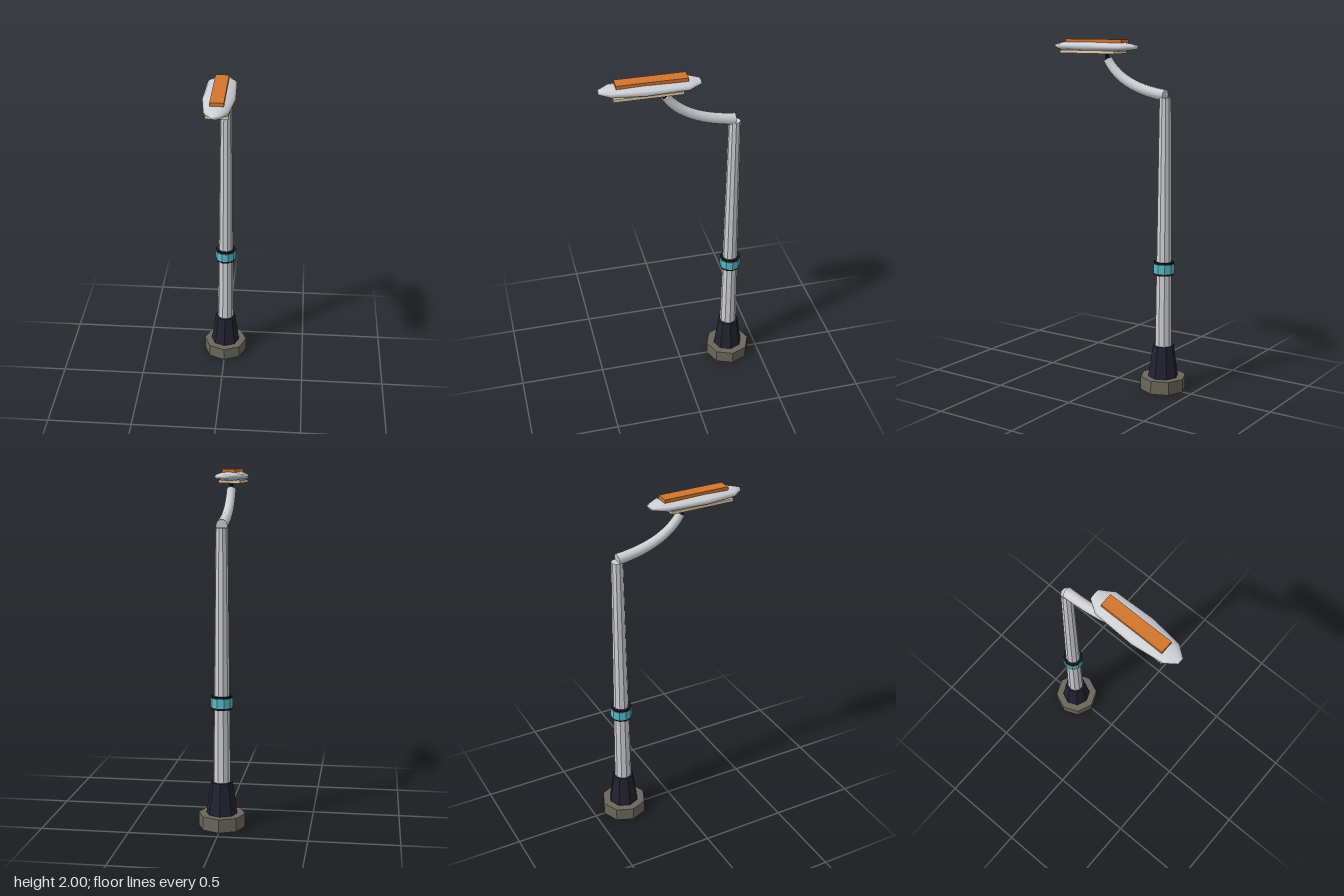
import * as THREE from 'three';

const paint = (name, color, flat = true) => {
  const m = new THREE.MeshStandardMaterial({ color, flatShading: flat });
  m.name = name;
  return m;
};

export function createModel() {
  const metal = paint('paleMetal', 0xcfd0d5);
  const smoothMetal = paint('smoothPaleMetal', 0xcfd0d5, false);
  const stone = paint('stone', 0x6b675c);
  const navy = paint('navy', 0x222230);
  const black = paint('black', 0x15171d);
  const teal = paint('teal', 0x58b9c6);
  const orange = paint('orange', 0xd2752c);
  const cream = paint('cream', 0xe6cfa8);

  const group = new THREE.Group();
  group.name = 'streetLamp';
  const poleZ = -0.31;

  const add = (name, geometry, material) => {
    const mesh = new THREE.Mesh(geometry, material);
    mesh.name = name;
    group.add(mesh);
    return mesh;
  };
  // Faceted column between two heights, with a corner on the x axis
  const column = (name, rBottom, rTop, y0, y1, sides, material, z = poleZ) => {
    const g = new THREE.CylinderGeometry(rTop, rBottom, y1 - y0, sides);
    g.rotateY(Math.PI / 2).translate(0, (y0 + y1) / 2, z);
    return add(name, g, material);
  };
  const plate = (name, w, y0, y1, z0, z1, material) => {
    const g = new THREE.BoxGeometry(w, y1 - y0, z1 - z0);
    g.translate(0, (y0 + y1) / 2, (z0 + z1) / 2);
    return add(name, g, material);
  };

  // Foot, sleeve, pole and collar
  column('base', 0.133, 0.133, 0, 0.077, 8, stone);
  column('sleeve', 0.088, 0.062, 0.077, 0.26, 8, navy);
  column('pole', 0.05, 0.034, 0.2, 1.685, 10, metal);
  column('collar', 0.06, 0.06, 0.68, 0.755, 10, black);
  column('collarBand', 0.063, 0.063, 0.691, 0.744, 10, teal);

  // Curved arm, slightly tapered towards the head
  const curve = new THREE.QuadraticBezierCurve3(
    new THREE.Vector3(0, 1.697, poleZ),
    new THREE.Vector3(0, 1.73, -0.02),
    new THREE.Vector3(0, 1.885, 0.075));
  const steps = 12, around = 10;
  const arm = new THREE.TubeGeometry(curve, steps, 1, around);
  const p = arm.attributes.position, v = new THREE.Vector3();
  for (let i = 0; i < p.count; i++) {
    const t = Math.floor(i / (around + 1)) / steps;
    const c = curve.getPointAt(t);
    v.fromBufferAttribute(p, i).sub(c).multiplyScalar(0.033 - 0.006 * t);
    p.setXYZ(i, c.x + v.x, c.y + v.y, c.z + v.z);
  }
  add('arm', arm, smoothMetal);
  // Caps closing both ends of the arm
  for (const [t, r, dir] of [[0, 0.033, -1], [1, 0.027, 1]]) {
    const cap = add('armCap', new THREE.CircleGeometry(r, around), metal);
    cap.position.copy(curve.getPointAt(t));
    cap.lookAt(cap.position.clone().addScaledVector(curve.getTangentAt(t), dir));
  }

  // Joint under the head
  column('joint', 0.013, 0.009, 1.875, 1.905, 8, black, 0.08);
  column('jointTop', 0.009, 0.016, 1.9, 1.925, 8, black, 0.08);

  // Lamp head lofted from oval sections: z, half width, half height
  const sections = [
    [-0.112, 0.033, 0.013], [-0.04, 0.08, 0.025], [0.2, 0.088, 0.03],
    [0.38, 0.065, 0.025], [0.44, 0.02, 0.012],
  ];
  const n = 12, pos = [], index = [], headY = 1.957;
  for (const [z, w, h] of sections) {
    for (let i = 0; i < n; i++) {
      const a = (i / n) * Math.PI * 2;
      pos.push(w * Math.cos(a), headY + h * Math.sin(a), z);
    }
  }
  for (let s = 0; s < sections.length - 1; s++) {
    for (let i = 0; i < n; i++) {
      const a = s * n + i, b = s * n + (i + 1) % n;
      index.push(a, b, b + n, a, b + n, a + n);
    }
  }
  const last = (sections.length - 1) * n;
  for (let i = 1; i < n - 1; i++) {
    index.push(0, i + 1, i, last, last + i, last + i + 1);
  }
  const head = new THREE.BufferGeometry();
  head.setAttribute('position', new THREE.Float32BufferAttribute(pos, 3));
  head.setIndex(index);
  head.computeVertexNormals();
  add('lampHead', head, smoothMetal);

  // Panel on top and light lens below
  plate('topPanel', 0.074, 1.98, 2.0, -0.04, 0.35, orange);
  plate('lens', 0.122, 1.919, 1.936, -0.01, 0.37, cream);

  return group;
}
